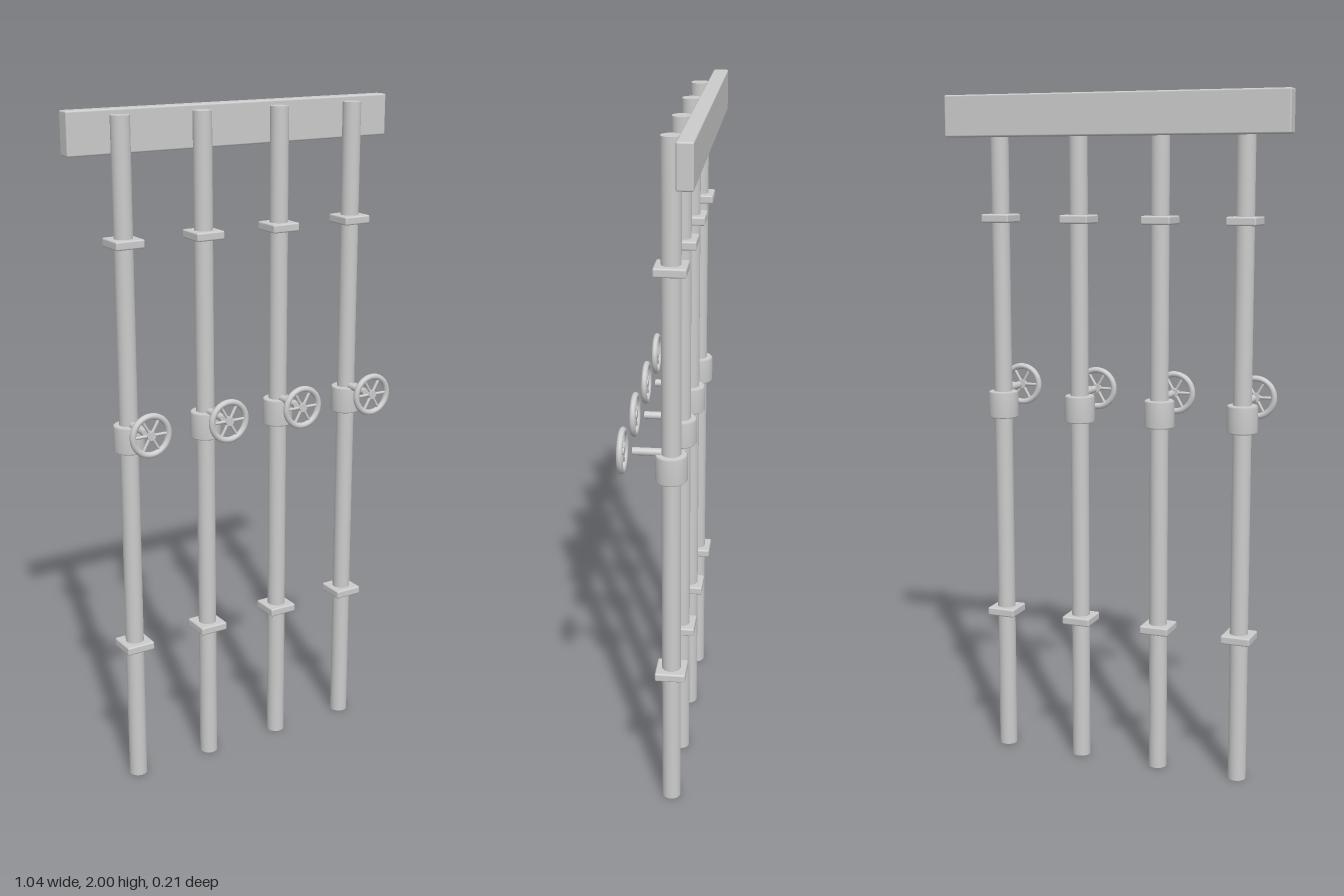
import * as THREE from 'three';
import { RoundedBoxGeometry } from 'three/addons/geometries/RoundedBoxGeometry.js';

const material = new THREE.MeshStandardMaterial({ color: 0xcccccc });

function add(parent, name, geometry, x = 0, y = 0, z = 0) {
  const mesh = new THREE.Mesh(geometry, material);
  mesh.name = name;
  mesh.position.set(x, y, z);
  parent.add(mesh);
  return mesh;
}

// Spoked wheel facing +z
function createHandwheel() {
  const wheel = new THREE.Group();
  wheel.name = 'handwheel';
  add(wheel, 'rim', new THREE.TorusGeometry(0.056, 0.009, 12, 40));
  add(wheel, 'hub', new THREE.CylinderGeometry(0.013, 0.013, 0.014, 20)).rotation.x = Math.PI / 2;
  for (let i = 0; i < 6; i++) {
    const a = (i * Math.PI) / 3;
    const spoke = add(wheel, 'spoke', new THREE.CylinderGeometry(0.0045, 0.0045, 0.05, 10),
      Math.cos(a) * 0.03, Math.sin(a) * 0.03, 0);
    spoke.rotation.z = a - Math.PI / 2;
  }
  return wheel;
}

// One upright pipe with its clamps and valve
function createPipe() {
  const unit = new THREE.Group();
  unit.name = 'valvePipe';
  add(unit, 'pipe', new THREE.CylinderGeometry(0.027, 0.027, 1.986, 32), 0, 0.993, 0);
  for (const y of [0.437, 1.645]) {
    add(unit, 'squareClamp', new RoundedBoxGeometry(0.088, 0.025, 0.088, 2, 0.005), 0, y, 0);
  }

  // Valve body with softened rims
  const profile = [[0, -0.04], [0.041, -0.04], [0.045, -0.036], [0.045, 0.036], [0.041, 0.04], [0, 0.04]]
    .map(([r, y]) => new THREE.Vector2(r, y));
  add(unit, 'valveBody', new THREE.LatheGeometry(profile, 32), 0, 1.087, 0);

  // Stem stops just short of the wheel
  const stem = add(unit, 'valveStem', new THREE.CylinderGeometry(0.011, 0.011, 0.106, 20), 0, 1.13, 0.053);
  stem.rotation.x = Math.PI / 2;

  const wheel = createHandwheel();
  wheel.position.set(0, 1.13, 0.134);
  unit.add(wheel);
  return unit;
}

export function createModel() {
  const model = new THREE.Group();
  model.name = 'pipeRack';

  // Wall beam behind the pipe tops
  add(model, 'beam', new RoundedBoxGeometry(1.044, 0.12, 0.044, 2, 0.005), 0, 1.94, -0.087);

  for (let i = 0; i < 4; i++) {
    const pipe = createPipe();
    pipe.position.set((i - 1.5) * 0.252, 0, -0.038);
    model.add(pipe);
  }
  return model;
}
